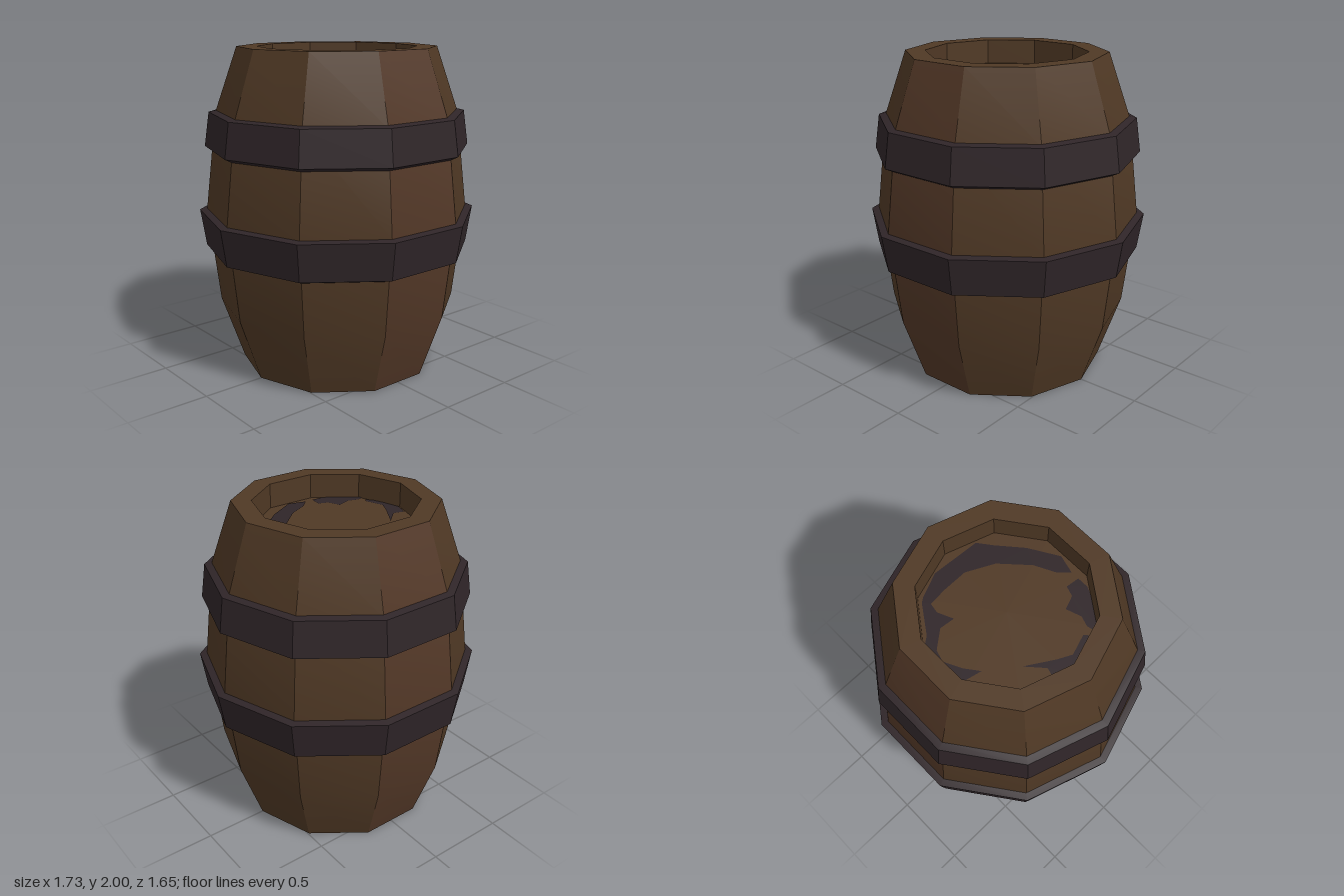
import * as THREE from 'three';
import { toCreasedNormals } from 'three/addons/utils/BufferGeometryUtils.js';

const SIDES = 10;
const wood = new THREE.MeshStandardMaterial({ color: 0x503925 });
wood.name = 'brown wood';
const redWood = new THREE.MeshStandardMaterial({ color: 0x533827 });
redWood.name = 'reddish wood';
const iron = new THREE.MeshStandardMaterial({ color: 0x2f2528 });
iron.name = 'dark iron';

// Ten-sided ring of faces from a profile of [radius, height] points
function turned(profile) {
  const points = profile.map(([r, y]) => new THREE.Vector2(r, y));
  const lathe = new THREE.LatheGeometry(points, SIDES, Math.PI / 2);
  return toCreasedNormals(lathe, THREE.MathUtils.degToRad(20));
}

function add(group, name, geometry, material) {
  const mesh = new THREE.Mesh(geometry, material);
  mesh.name = name;
  group.add(mesh);
  return mesh;
}

// Irregular worn patches on the lids, as [x, z] outlines
const stains = [
  [[-0.12, -0.46], [0.15, -0.465], [0.2, -0.4], [0.36, -0.29], [0.38, -0.26], [0.44, -0.12],
    [0.42, 0.17], [0.34, 0.23], [0.2, 0.35], [0.03, 0.45], [-0.08, 0.42], [-0.02, 0.36],
    [0.1, 0.3], [0.25, 0.16], [0.33, 0], [0.33, -0.15], [0.32, -0.26], [0.26, -0.27],
    [0.17, -0.23], [0.18, -0.32], [0.1, -0.42], [0.03, -0.44], [-0.07, -0.39], [-0.15, -0.33]],
  [[-0.45, -0.09], [-0.48, 0], [-0.44, 0.17], [-0.4, 0.22], [-0.38, 0.2], [-0.42, 0.08],
    [-0.38, 0], [-0.28, -0.16], [-0.38, -0.07]],
  [[-0.4, 0.26], [-0.36, 0.25], [-0.3, 0.27], [-0.21, 0.24], [-0.18, 0.32], [-0.12, 0.34],
    [-0.13, 0.42], [-0.2, 0.42], [-0.28, 0.38], [-0.4, 0.29]],
];

// Sunken lid, facing up (side 1) or down (side -1)
function makeLid(side) {
  const lid = new THREE.Group();
  lid.name = side > 0 ? 'topLid' : 'bottomLid';
  lid.position.y = 1 + side * 0.85;
  const disc = new THREE.CircleGeometry(0.49, SIDES).rotateX(-side * Math.PI / 2);
  add(lid, 'lidBoard', disc, wood);
  for (const outline of stains) {
    const shape = new THREE.Shape(outline.map(([x, z]) => new THREE.Vector2(x, -side * z)));
    const patch = new THREE.ShapeGeometry(shape).rotateX(-side * Math.PI / 2);
    add(lid, 'lidStain', patch, iron).position.y = side * 0.004;
  }
  return lid;
}

export function createModel() {
  const barrel = new THREE.Group();
  barrel.name = 'barrel';

  // Bulging staves, with the front and back ones slightly redder
  const profile = [[0.61, 0], [0.75, 0.4], [0.82, 1], [0.75, 1.6], [0.61, 2]];
  const staves = turned(profile);
  const perSide = (profile.length - 1) * 6;
  staves.clearGroups();
  for (let i = 0; i < SIDES; i++) {
    staves.addGroup(i * perSide, perSide, i === 2 || i === 7 ? 1 : 0);
  }
  add(barrel, 'staves', staves, [wood, redWood]);

  // Rims and the walls down to the lids
  add(barrel, 'topRim', turned([[0.61, 2], [0.49, 2], [0.49, 1.85]]), wood);
  add(barrel, 'bottomRim', turned([[0.49, 0.15], [0.49, 0], [0.61, 0]]), wood);
  barrel.add(makeLid(1), makeLid(-1));

  // Hoops with bevelled edges
  add(barrel, 'lowerHoop', turned([[0.785, 0.745], [0.83, 0.762], [0.865, 0.99], [0.815, 1.0]]), iron);
  add(barrel, 'upperHoop', turned([[0.77, 1.37], [0.82, 1.395], [0.79, 1.605], [0.745, 1.615]]), iron);

  return barrel;
}
